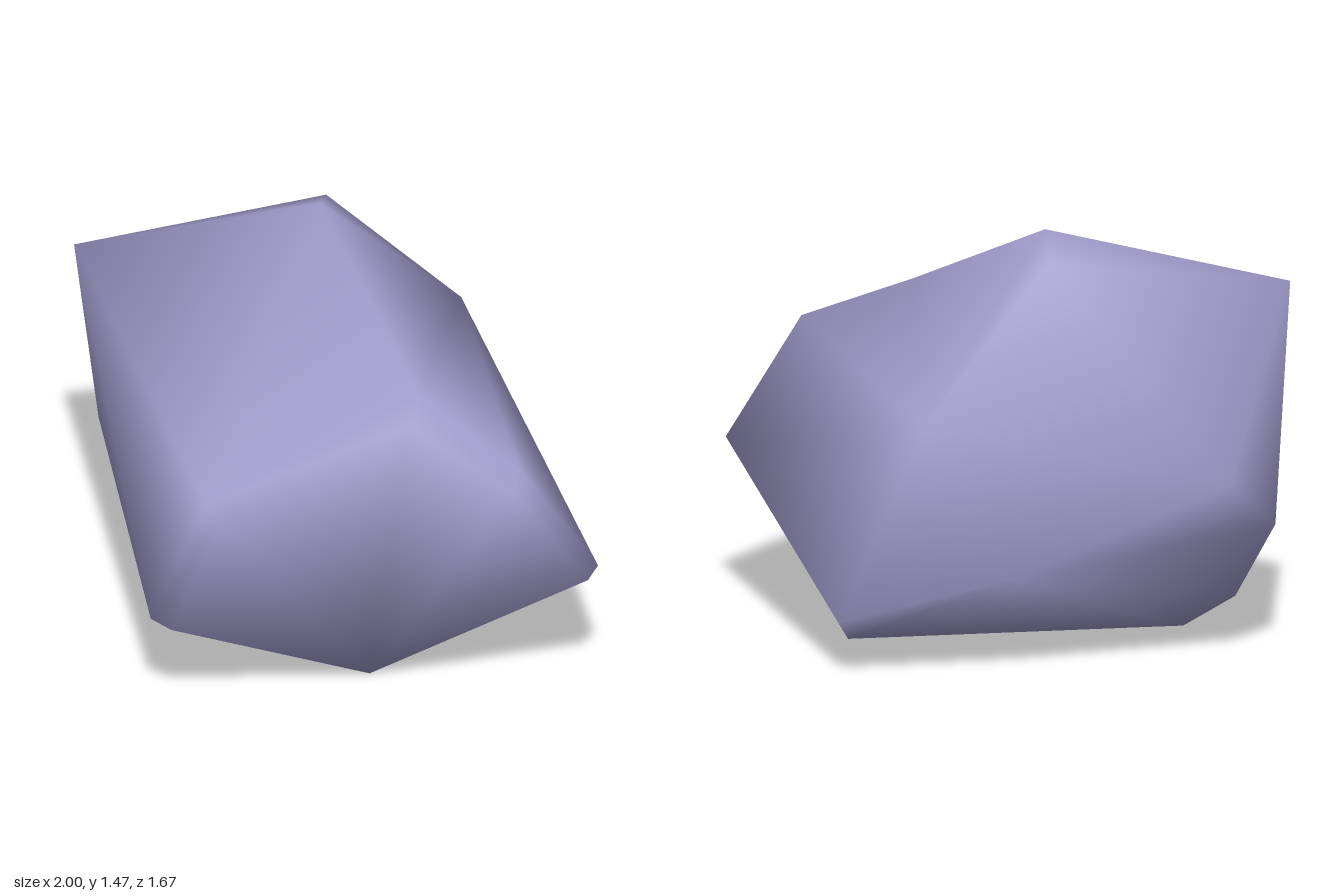
import * as THREE from 'three';

// Corner points of the boulder
const corners = {
  peak: [-0.17, 1.47, -0.32], peakBack: [-0.2, 1.39, -0.5], shoulder: [-1, 1.265, -0.14],
  noseTop: [-0.25, 0.91, 0.815], nose: [-0.2, 0.85, 0.835],
  saddleTop: [0.35, 1.14, 0.27], saddle: [0.35, 1.05, 0.355],
  browTop: [0.75, 0.97, 0.39], brow: [0.75, 0.91, 0.455],
  tipTop: [1, 0.56, 0.28], tip: [0.98, 0.53, 0.335],
  chinA: [-0.45, 0.41, 0.81], chinB: [-0.37, 0.39, 0.83],
  foot: [0.19, 0, 0.31], heel: [-0.65, 0.08, -0.33],
  sideLow: [-0.83, 0.19, -0.33], sideMid: [-0.97, 0.45, -0.34], sideBack: [-0.83, 0.62, -0.49],
  backLow: [-0.11, 0.35, -0.835], backHigh: [0.2, 0.87, -0.79],
  spur: [0.46, 0.12, -0.81], spurTop: [0.49, 0.18, -0.83],
};

// Facets, counter-clockwise from outside
const facets = [
  // top
  'peak shoulder noseTop', 'peak noseTop saddleTop', 'saddleTop backHigh peak',
  'peak backHigh peakBack', 'peak peakBack shoulder', 'browTop backHigh saddleTop',
  // narrow bevel along the front rim
  'noseTop nose saddle', 'noseTop saddle saddleTop', 'saddleTop saddle brow',
  'saddleTop brow browTop', 'browTop brow tip', 'browTop tip tipTop',
  // front
  'shoulder chinA noseTop', 'chinA nose noseTop', 'chinA chinB nose', 'nose chinB foot',
  'nose foot saddle', 'saddle foot brow', 'brow foot tip', 'tip foot tipTop',
  // right side and underside
  'shoulder sideMid chinA', 'shoulder sideBack sideMid', 'sideMid sideLow chinA',
  'sideLow heel chinA', 'heel foot chinA', 'chinA foot chinB',
  'tipTop foot heel', 'tipTop heel spur',
  // back
  'peakBack sideBack shoulder', 'peakBack backHigh sideBack', 'backHigh backLow sideBack',
  'sideBack backLow sideMid', 'backLow sideLow sideMid', 'backLow heel sideLow',
  'backLow spur heel', 'backLow spurTop spur', 'backLow backHigh spurTop',
  // left side
  'spur spurTop tipTop', 'tipTop spurTop backHigh', 'browTop tipTop backHigh',
];

// Smooth normals, each facet weighted by its angle at the corner
function smoothNormals(points, triangles) {
  const normals = points.map(() => new THREE.Vector3());
  for (const triangle of triangles) {
    const [a, b, c] = triangle.map((i) => points[i]);
    const facing = new THREE.Triangle(a, b, c).getNormal(new THREE.Vector3());
    triangle.forEach((corner, k) => {
      const toNext = points[triangle[(k + 1) % 3]].clone().sub(points[corner]);
      const toLast = points[triangle[(k + 2) % 3]].clone().sub(points[corner]);
      normals[corner].addScaledVector(facing, toNext.angleTo(toLast));
    });
  }
  return normals.flatMap((normal) => normal.normalize().toArray());
}

export function createModel() {
  const names = Object.keys(corners);
  const points = Object.values(corners).map((p) => new THREE.Vector3(...p));
  const triangles = facets.map((facet) => facet.split(' ').map((name) => names.indexOf(name)));

  const geometry = new THREE.BufferGeometry().setFromPoints(points);
  geometry.setIndex(triangles.flat());
  geometry.setAttribute('normal',
    new THREE.Float32BufferAttribute(smoothNormals(points, triangles), 3));

  const stone = new THREE.MeshStandardMaterial({ color: 0xa09ccc });
  stone.name = 'lavenderStone';
  const boulder = new THREE.Mesh(geometry, stone);
  boulder.name = 'boulder';

  const group = new THREE.Group();
  group.name = 'rock';
  group.add(boulder);
  return group;
}
